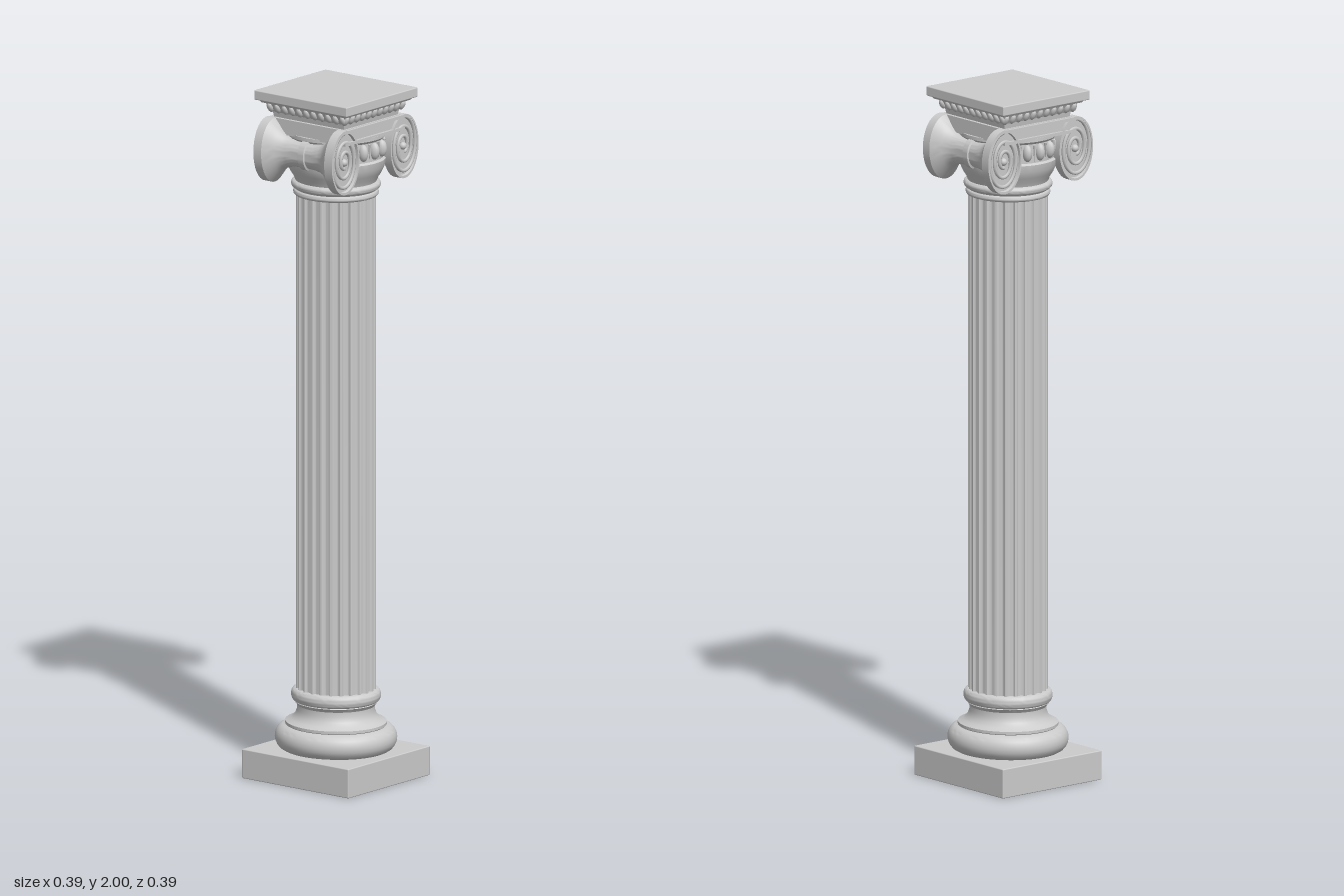
import * as THREE from 'three';
import { toCreasedNormals } from 'three/addons/utils/BufferGeometryUtils.js';
import { RoundedBoxGeometry } from 'three/addons/geometries/RoundedBoxGeometry.js';

const SQUASH = 0.945; // the plan is slightly narrower in x than in z
const stone = new THREE.MeshStandardMaterial({ color: 0xcccccc });

function add(parent, name, geometry, x = 0, y = 0, z = 0) {
  const mesh = new THREE.Mesh(geometry, stone);
  mesh.name = name;
  mesh.position.set(x, y, z);
  parent.add(mesh);
  return mesh;
}

// half-round bulge from y0 to y1, as profile points
function bulge(r, depth, y0, y1, n = 10) {
  return Array.from({ length: n + 1 }, (_, i) => {
    const a = (i / n - 0.5) * Math.PI;
    return [r + depth * Math.cos(a), (y0 + y1) / 2 + ((y1 - y0) / 2) * Math.sin(a)];
  });
}

function turned(points, segments = 64) {
  const geo = new THREE.LatheGeometry(points.map(p => new THREE.Vector2(p[0], p[1])), segments);
  return toCreasedNormals(geo, 0.6);
}

// 24 concave flutes separated by narrow fillets
function flutedShaft(radius, height) {
  const flutes = 24, steps = 8, points = [];
  for (let i = 0; i < flutes; i++) {
    for (let j = 0; j <= steps; j++) {
      const t = j / steps;
      const a = ((i + 0.1 + 0.8 * t) / flutes) * Math.PI * 2;
      const r = radius - 0.009 * Math.sqrt(Math.max(0, 1 - (2 * t - 1) ** 2));
      points.push(new THREE.Vector2(r * Math.cos(a), r * Math.sin(a)));
    }
  }
  const geo = new THREE.ExtrudeGeometry(new THREE.Shape(points), { depth: height, bevelEnabled: false });
  geo.rotateX(-Math.PI / 2);
  return toCreasedNormals(geo, 0.6);
}

// scroll line winding from the top of a volute in to its eye
class Scroll extends THREE.Curve {
  constructor(side) { super(); this.side = side; }
  getPoint(t, target = new THREE.Vector3()) {
    const k = 0.92 - 0.74 * t, a = t * Math.PI * 5;
    return target.set(this.side * 0.062 * k * Math.sin(a), 0.093 * k * Math.cos(a), 0);
  }
}

// four-sided tapering layer with half widths in z
function squareLayer(bottom, top, height) {
  const geo = new THREE.CylinderGeometry(top * Math.SQRT2, bottom * Math.SQRT2, height, 4, 1).toNonIndexed();
  geo.rotateY(Math.PI / 4).scale(SQUASH, 1, 1);
  geo.computeVertexNormals();
  return geo;
}

export function createModel() {
  const model = new THREE.Group();
  model.name = 'column';
  const round = new THREE.Group();
  round.name = 'roundParts';
  round.scale.x = SQUASH;
  model.add(round);

  // base
  add(model, 'plinth', new RoundedBoxGeometry(0.366, 0.085, 0.388, 2, 0.003), 0, 0.0425, 0);
  add(round, 'base', turned([
    [0, 0.083], ...bulge(0.145, 0.032, 0.083, 0.155), [0.147, 0.157], [0.147, 0.165],
    [0.13, 0.172], [0.119, 0.183], [0.113, 0.198], [0.113, 0.212], [0.12, 0.222],
    ...bulge(0.118, 0.012, 0.224, 0.26), [0, 0.262],
  ]));

  // shaft
  add(round, 'shaft', flutedShaft(0.116, 1.45), 0, 0.255, 0);

  // necking and swelling cushion beneath the volutes
  add(round, 'necking', turned([
    [0, 1.693], ...bulge(0.117, 0.007, 1.695, 1.712, 6), [0.118, 1.714],
    ...bulge(0.12, 0.01, 1.716, 1.738, 6), [0, 1.74],
  ]));
  add(round, 'cushion', turned([
    [0, 1.737], [0.118, 1.737], [0.123, 1.75], [0.133, 1.765], [0.142, 1.785],
    [0.145, 1.805], [0.138, 1.81], [0.138, 1.865], [0.145, 1.872], [0.145, 1.882], [0, 1.884],
  ]));

  // eggs and darts around the cushion
  const eggs = new THREE.Group();
  eggs.name = 'eggAndDart';
  round.add(eggs);
  const count = 20;
  for (let i = 0; i < count; i++) {
    const a = (i / count) * Math.PI * 2, b = a + Math.PI / count;
    const egg = add(eggs, 'egg', new THREE.SphereGeometry(1, 12, 10), 0.139 * Math.sin(a), 1.84, 0.139 * Math.cos(a));
    egg.scale.set(0.014, 0.025, 0.017);
    egg.rotation.y = a;
    const dart = add(eggs, 'dart', new THREE.ConeGeometry(0.005, 0.05, 4), 0.141 * Math.sin(b), 1.838, 0.141 * Math.cos(b));
    dart.rotation.set(Math.PI, b, 0);
  }

  // band joining the volutes
  add(model, 'channel', new THREE.BoxGeometry(0.26, 0.045, 0.268), 0, 1.9, 0);
  for (const f of [-1, 1]) {
    for (const y of [1.882, 1.917]) {
      add(model, 'channelRim', new THREE.BoxGeometry(0.266, 0.009, 0.012), 0, y, f * 0.137);
    }
  }

  // bolsters flaring out to a scroll at each end
  const half = [
    [0, 0.135], [0.084, 0.135], [0.086, 0.143], [0.093, 0.143], [0.093, 0.115], [0.077, 0.101],
    [0.061, 0.088], [0.048, 0.074], [0.041, 0.058], [0.037, 0.035], [0.036, 0.012], [0.042, 0.01],
  ];
  const profile = [...half.map(([r, z]) => [r, -z]), ...half.slice().reverse()];
  for (const side of [-1, 1]) {
    const volute = new THREE.Group();
    volute.name = side > 0 ? 'leftVolute' : 'rightVolute';
    volute.position.set(side * 0.132, 1.83, 0);
    model.add(volute);
    const bolster = turned(profile, 48);
    bolster.rotateX(Math.PI / 2).scale(0.667, 1, 1);
    add(volute, 'bolster', bolster);
    for (const f of [-1, 1]) {
      add(volute, 'scroll', new THREE.TubeGeometry(new Scroll(side), 110, 0.0055, 6), 0, 0, f * 0.138);
      add(volute, 'eye', new THREE.SphereGeometry(0.011, 14, 10), 0, 0, f * 0.136);
    }
  }

  // moulding and slab on top
  add(model, 'lowerMoulding', squareLayer(0.127, 0.13, 0.016), 0, 1.929, 0);
  add(model, 'slopedMoulding', squareLayer(0.13, 0.146, 0.028), 0, 1.951, 0);
  add(model, 'upperMoulding', squareLayer(0.153, 0.16, 0.01), 0, 1.969, 0);
  add(model, 'abacus', new RoundedBoxGeometry(0.32, 0.028, 0.338, 2, 0.003), 0, 1.986, 0);

  // row of small leaves along each side of the moulding
  const leaves = new THREE.Group();
  leaves.name = 'leafRow';
  leaves.scale.x = SQUASH;
  model.add(leaves);
  const leafShape = new THREE.SphereGeometry(1, 8, 6);
  for (let s = 0; s < 4; s++) {
    const row = new THREE.Group();
    row.name = 'leafSide';
    row.rotation.y = (s * Math.PI) / 2;
    leaves.add(row);
    for (let i = -5; i <= 5; i++) {
      const leaf = add(row, 'leaf', leafShape, i * 0.0265, 1.95, 0.139);
      leaf.scale.set(0.0095, 0.016, 0.008);
      leaf.rotation.x = 0.5;
    }
  }
  return model;
}
